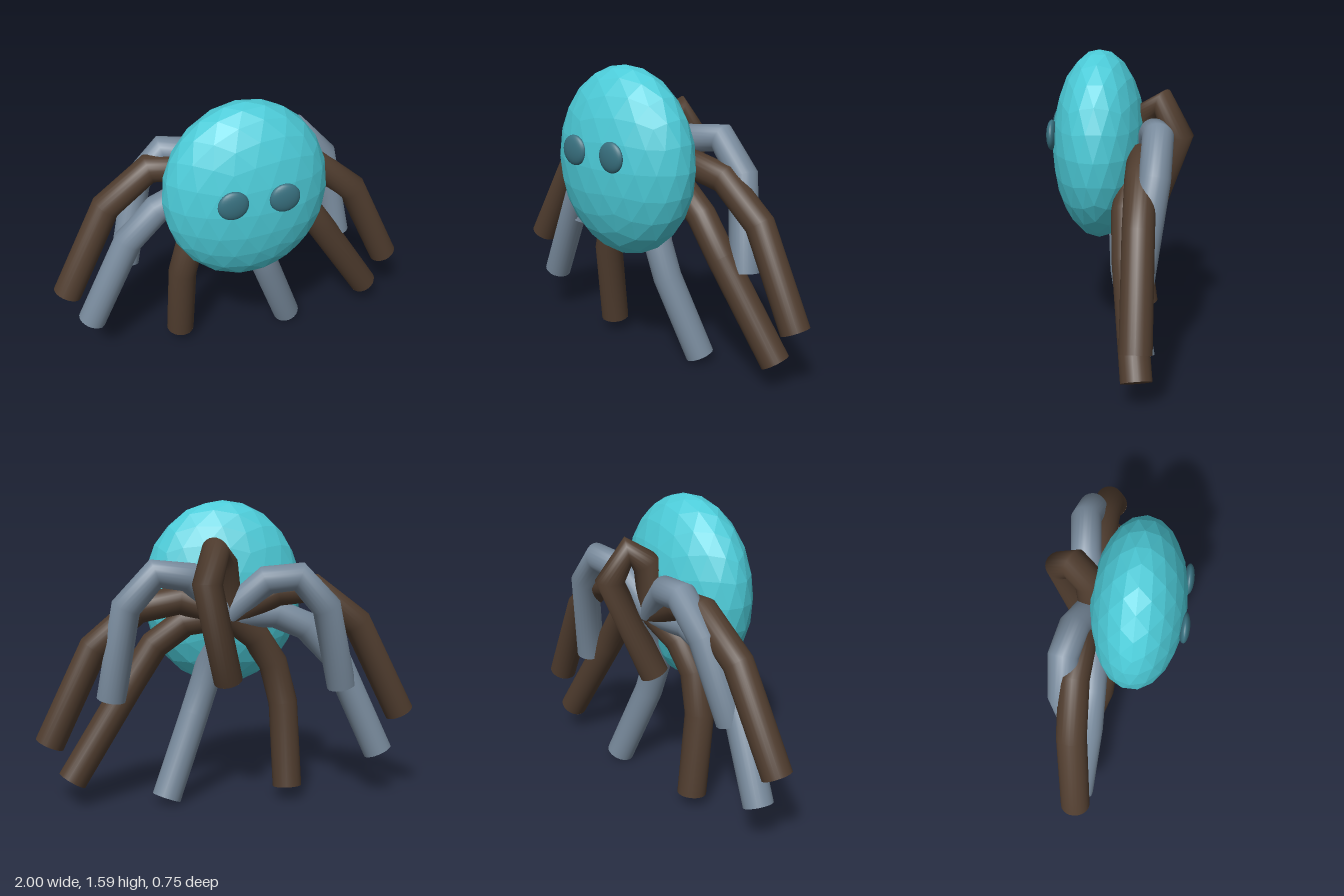
import * as THREE from 'three';

const RADIUS = 0.077;
const ROOT = [0, 1.0, -0.12];

// Polyline curve: rings sit exactly on the joints, turned to the bisector of each bend
class JointedCurve extends THREE.Curve {
  constructor(points) {
    super();
    this.points = points.map((p) => new THREE.Vector3(...p));
  }
  index(t) {
    return Math.round(t * (this.points.length - 1));
  }
  getPointAt(t, target = new THREE.Vector3()) {
    return target.copy(this.points[this.index(t)]);
  }
  getTangentAt(t, target = new THREE.Vector3()) {
    const i = this.index(t), p = this.points, n = p.length - 1;
    target.set(0, 0, 0);
    if (i > 0) target.add(p[i].clone().sub(p[i - 1]).normalize());
    if (i < n) target.add(p[i + 1].clone().sub(p[i]).normalize());
    return target.normalize();
  }
}

// A bent leg with a flat foot
function makeLeg(name, material, joints) {
  const leg = new THREE.Group();
  leg.name = name;
  const curve = new JointedCurve([ROOT, ...joints]);
  const tube = new THREE.Mesh(
    new THREE.TubeGeometry(curve, joints.length, RADIUS, 24, false), material);
  tube.name = name + 'Tube';
  const foot = new THREE.Mesh(new THREE.CircleGeometry(RADIUS, 24), material);
  foot.name = name + 'Foot';
  foot.position.copy(curve.getPointAt(1));
  foot.quaternion.setFromUnitVectors(new THREE.Vector3(0, 0, 1), curve.getTangentAt(1));
  leg.add(tube, foot);
  return leg;
}

export function createModel() {
  const model = new THREE.Group();
  model.name = 'spider';
  const bodyMat = new THREE.MeshStandardMaterial({ color: 0x4ccbd8, flatShading: true });
  const eyeMat = new THREE.MeshStandardMaterial({ color: 0x38707f });
  const brown = new THREE.MeshStandardMaterial({ color: 0x4f3c2e, side: THREE.DoubleSide });
  const grey = new THREE.MeshStandardMaterial({ color: 0x788a9c, side: THREE.DoubleSide });

  // Faceted egg-shaped body, with a corner of the icosahedron pointing up
  const bodyGeo = new THREE.IcosahedronGeometry(1, 3);
  bodyGeo.rotateZ(Math.atan(2 / (1 + Math.sqrt(5))));
  bodyGeo.scale(0.43, 0.495, 0.245);
  const body = new THREE.Mesh(bodyGeo, bodyMat);
  body.name = 'body';
  body.position.set(0, 1.092, 0.11);
  model.add(body);

  // Flattened eyes
  for (const side of [-1, 1]) {
    const eye = new THREE.Mesh(new THREE.SphereGeometry(0.078, 24, 16), eyeMat);
    eye.name = side > 0 ? 'leftEye' : 'rightEye';
    eye.scale.z = 0.35;
    eye.position.set(side * 0.13, 1.167, 0.347);
    model.add(eye);
  }

  // Legs, each given by its joints from hip to foot
  const legs = [
    ['rightUpperLeg', brown, [[-0.25, 1.12, -0.15], [-0.44, 1.135, -0.16], [-0.68, 0.95, -0.15], [-0.935, 0.455, -0.12]]],
    ['rightMiddleLeg', grey, [[-0.25, 1.0, -0.09], [-0.42, 0.93, -0.085], [-0.585, 0.76, -0.085], [-0.82, 0.24, -0.12]]],
    ['rightLowerLeg', brown, [[-0.15, 0.88, -0.07], [-0.25, 0.73, -0.05], [-0.305, 0.515, -0.06], [-0.32, 0.068, -0.12]]],
    ['rightBackLeg', grey, [[-0.19, 1.18, -0.19], [-0.35, 1.2, -0.22], [-0.5, 1.04, -0.21], [-0.61, 0.61, -0.12]]],
    ['leftUpperLeg', brown, [[-0.0 + 0.25, 1.08, -0.12], [0.47, 1.035, -0.12], [0.695, 0.84, -0.12], [0.93, 0.342, -0.12]]],
    ['leftMiddleLeg', brown, [[0.22, 0.96, -0.07], [0.38, 0.84, -0.05], [0.51, 0.64, -0.06], [0.82, 0.143, -0.12]]],
    ['leftLowerLeg', grey, [[0.06, 0.83, -0.04], [0.11, 0.64, -0.02], [0.17, 0.46, -0.03], [0.33, 0.029, -0.12]]],
    ['leftBackLeg', grey, [[0.21, 1.2, -0.18], [0.38, 1.22, -0.2], [0.53, 1.05, -0.19], [0.61, 0.57, -0.12]]],
    ['backLeg', brown, [[0.03, 1.26, -0.14], [0.08, 1.325, -0.22], [0.13, 1.17, -0.3], [0, 0.65, -0.12]]],
  ];
  for (const [name, material, joints] of legs) model.add(makeLeg(name, material, joints));

  return model;
}
